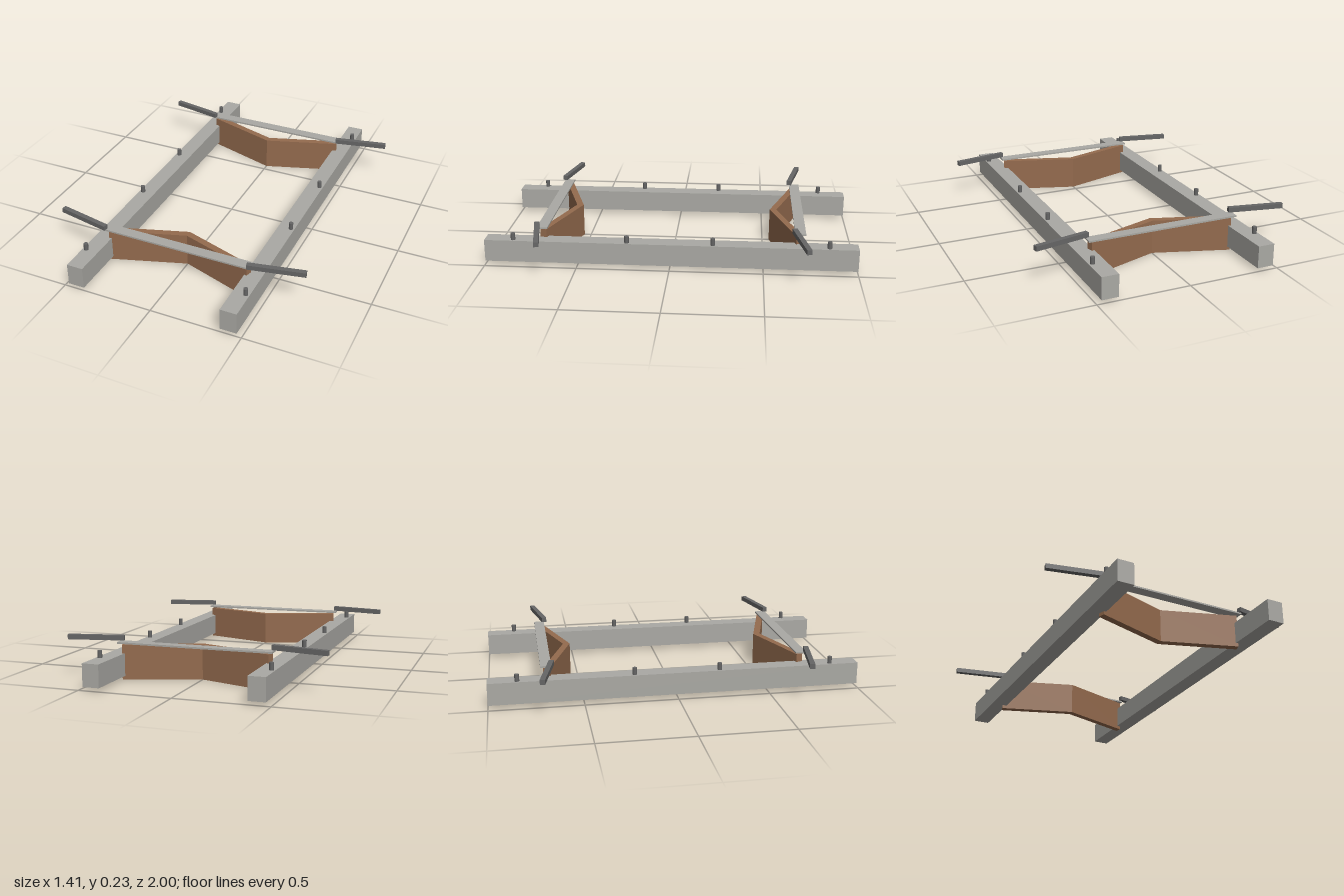
import * as THREE from 'three';

export function createModel() {
  const model = new THREE.Group();
  model.name = 'ladderFrame';
  const mat = (name, color) => {
    const m = new THREE.MeshStandardMaterial({ color });
    m.name = name;
    return m;
  };
  const railGrey = mat('rail grey', 0xaaa9a4);
  const braceBrown = mat('brace brown', 0x946b4e);
  const darkGrey = mat('dark grey', 0x666666);

  const add = (name, geometry, material, x, y, z) => {
    const mesh = new THREE.Mesh(geometry, material);
    mesh.name = name;
    mesh.position.set(x, y, z);
    model.add(mesh);
    return mesh;
  };

  // Long side rails with upright studs
  const stud = new THREE.CylinderGeometry(0.0125, 0.0125, 0.05, 8);
  for (const s of [-1, 1]) {
    add('sideRail', new THREE.BoxGeometry(0.09, 0.12, 2), railGrey, s * 0.43, 0.079, 0);
    for (const z of [-0.845, -0.23, 0.23, 0.845]) add('stud', stud, darkGrey, s * 0.455, 0.152, z);
  }

  // V-shaped brace outline in plan, with its point towards the middle
  const outline = [[0, 0.538], [0.409, 0.672], [0.398, 0.707], [0, 0.576],
    [-0.398, 0.707], [-0.409, 0.672]];

  for (const end of [-1, 1]) {
    const shape = new THREE.Shape(outline.map(([x, z]) => new THREE.Vector2(x, -end * z)));
    const brace = new THREE.ExtrudeGeometry(shape, { depth: 0.184, bevelEnabled: false });
    brace.rotateX(-Math.PI / 2);
    add('crossBrace', brace, braceBrown, 0, 0, 0);

    // Thin strap above the brace
    add('crossStrap', new THREE.BoxGeometry(0.84, 0.009, 0.058), railGrey, 0, 0.1955, end * 0.693);

    // Swept arms reaching outwards
    for (const s of [-1, 1]) {
      const arm = add('sweptArm', new THREE.BoxGeometry(0.303, 0.026, 0.027), darkGrey,
        s * 0.553, 0.2135, end * 0.692);
      arm.rotation.y = s * 0.2;
    }
  }
  return model;
}
